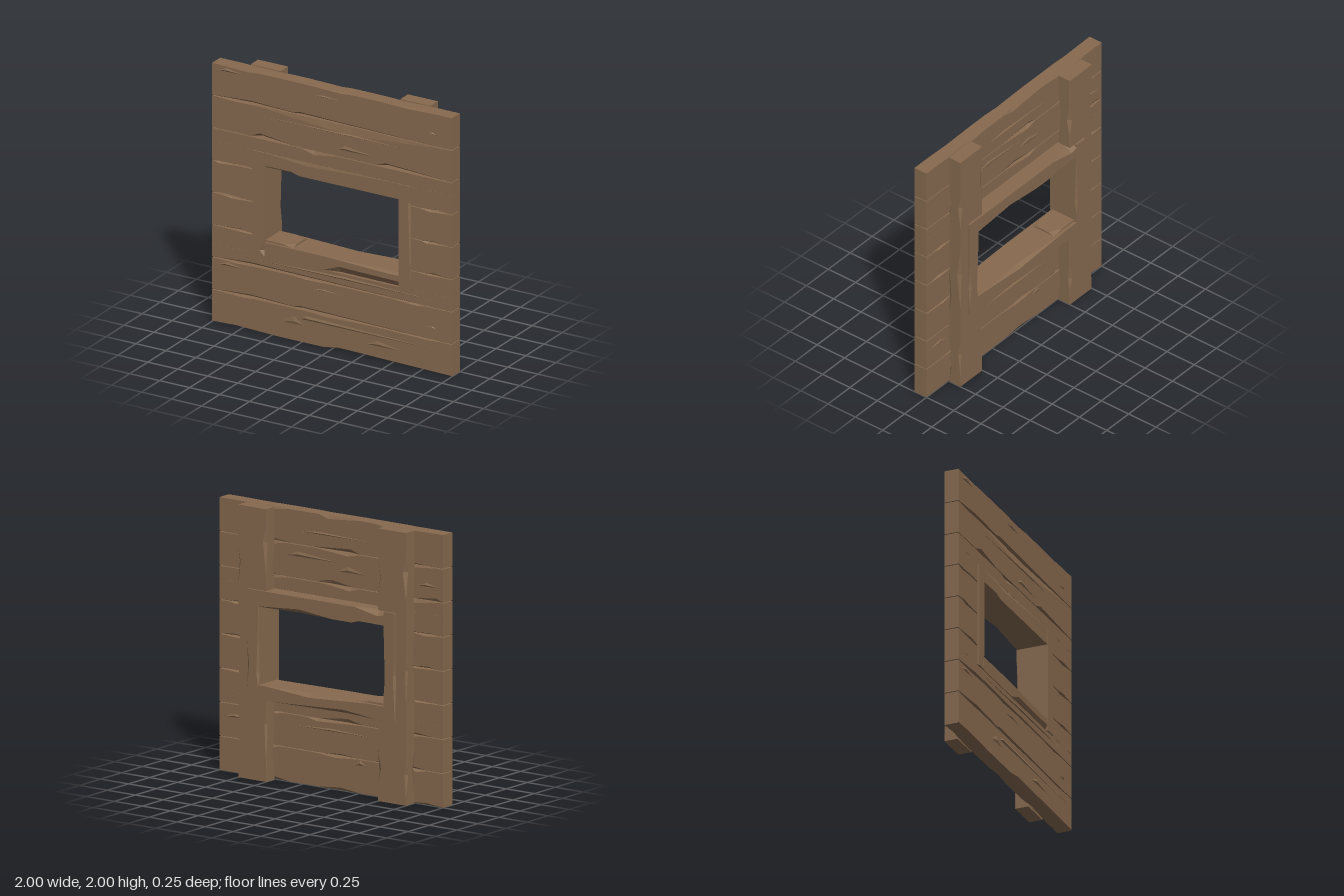
import * as THREE from 'three';

const wood = new THREE.MeshStandardMaterial({ color: 0x876a4f });
wood.name = 'brown wood';

// Small seeded generator for the chipped edges
let seed = 11;
const rnd = (a, b) => {
  seed = (seed * 16807) % 2147483647;
  return a + (b - a) * (seed / 2147483647);
};

function toMesh(tris, name) {
  const geo = new THREE.BufferGeometry();
  geo.setAttribute('position', new THREE.Float32BufferAttribute(tris.flat(), 3));
  geo.computeVertexNormals();
  const mesh = new THREE.Mesh(geo, wood);
  mesh.name = name;
  return mesh;
}

// Hewn board along x. Corners: 0 bottom back, 1 top back, 2 top front, 3 bottom front.
// Chip: [corner, start, peak, end, cut across, cut into depth]
function board(name, [x0, x1], [y0, y1], [z0, z1], chips = []) {
  const stations = [...new Set([x0, x1, ...chips.flatMap(c => [c[1], c[2], c[3]])])]
    .filter(x => x >= x0 && x <= x1).sort((a, b) => a - b);
  const cut = (corner, x) => {
    let u = 0.0006, v = 0.0006;
    for (const [k, a, p, b, du, dv] of chips) {
      if (k !== corner || x <= a || x >= b) continue;
      const f = x <= p ? (x - a) / (p - a) : (b - x) / (b - p);
      u = Math.max(u, du * f);
      v = Math.max(v, dv * f);
    }
    return [u, v];
  };
  const rings = stations.map(x => {
    const [a, b, c, d] = [0, 1, 2, 3].map(k => cut(k, x));
    return [
      [x, y0, z0 + a[1]], [x, y0 + a[0], z0], [x, y1 - b[0], z0], [x, y1, z0 + b[1]],
      [x, y1, z1 - c[1]], [x, y1 - c[0], z1], [x, y0 + d[0], z1], [x, y0, z1 - d[1]],
    ].reverse();
  });
  const tris = [];
  // The reversed ring runs clockwise in (y, z) or not depending on build order, so orient by area
  const area = r => r.reduce((s, p, i) => {
    const q = r[(i + 1) % 8];
    return s + p[1] * q[2] - q[1] * p[2];
  }, 0);
  rings.forEach(r => { if (area(r) < 0) r.reverse(); });
  for (let i = 0; i < rings.length - 1; i++) {
    for (let j = 0; j < 8; j++) {
      const k = (j + 1) % 8;
      const a = rings[i][j], b = rings[i][k], c = rings[i + 1][k], d = rings[i + 1][j];
      tris.push(...a, ...b, ...c, ...a, ...c, ...d);
    }
  }
  const s = rings[0], e = rings[rings.length - 1];
  for (let j = 1; j < 7; j++) {
    tris.push(...s[0], ...s[j + 1], ...s[j], ...e[0], ...e[j], ...e[j + 1]);
  }
  return toMesh(tris, name);
}

// A few random chips on the given corners
function wear(x0, x1, corners, count, du = 0.025, dv = 0.015) {
  const out = [];
  for (const k of corners) {
    for (let i = 0; i < count; i++) {
      const step = (x1 - x0) / count, a = x0 + step * i + rnd(0, 0.25) * step;
      const b = a + step * rnd(0.4, 0.75);
      out.push([k, a, a + (b - a) * rnd(0.2, 0.8), b, rnd(0.4, 1) * du, rnd(0.4, 1) * dv]);
    }
  }
  return out;
}

// Upright board: built along x, then turned so its length runs along y
function upright(name, [x0, x1], ys, zs, chips) {
  const mesh = board(name, ys, [-x1, -x0], zs, chips);
  mesh.rotation.z = Math.PI / 2;
  return mesh;
}

// Low raised splinter with a steep underside
function splinter(x0, xp, x1, y, h, z, d = 0.008) {
  const L = [x0, y, z], R = [x1, y + h * 0.1, z], T = [xp, y + h, z], P = [xp, y + h * 0.45, z + d];
  return toMesh([...L, ...P, ...T, ...P, ...R, ...T, ...L, ...R, ...P], 'splinter');
}

export function createModel() {
  const model = new THREE.Group();
  const Z = [0, 0.11], G = 0.003;

  // Full-width planks: [bottom, top, front chips]
  const longSeam = [[3, -1.01, -0.68, -0.1, 0.022, 0.03], [3, -0.34, -0.27, 0.95, 0.022, 0.03]];
  const rows = [
    [0, 0.25, [[3, -0.07, 0.05, 1.3, 0.022, 0.04], [3, -1.1, -0.8, -0.45, 0.012, 0.03]]],
    [0.25, 0.5, longSeam],
    [0.5, 0.6, [[3, -1.01, -0.68, 0.97, 0.022, 0.03]]],
    [1.4, 1.5, [[2, -0.25, -0.15, 0.04, 0.03, 0.016]]],
    [1.5, 1.75, [[3, -0.69, -0.6, -0.33, 0.036, 0.05], [3, 0.37, 0.45, 1, 0.03, 0.045],
      [2, -0.68, 0.15, 0.95, 0.065, 0.012]]],
    [1.75, 2, longSeam],
  ];
  rows.forEach(([a, b, chips]) => {
    const inner = b - a < 0.2;
    const lo = a === 0 || a === 1.4 ? a : a + G, hi = b === 2 || b === 0.6 ? b : b - G;
    const back = a === 1.4 ? [1] : inner ? [0] : [0, 1];
    model.add(board('plank', [-1, 1], [lo, hi], Z,
      [...chips, ...wear(-1, 1, back, 3, 0.03, 0.02), ...(inner ? [] : wear(-1, 1, [2], 3, 0.012, 0.012))]));
  });

  // Short planks either side of the window
  for (const [a, b] of [[0.6, 0.75], [0.75, 1], [1, 1.25], [1.25, 1.4]]) {
    for (const xs of [[-1, -0.66], [0.66, 1]]) {
      const lo = a === 0.6 ? a : a + G, hi = b === 1.4 ? b : b - G;
      const worn = a === 0.6 ? [1, 2] : b === 1.4 ? [0, 3] : [0, 1, 2, 3];
      model.add(board('sidePlank', xs, [lo, hi], Z, wear(xs[0], xs[1] + 0.1, worn, 1, 0.014, 0.025)));
    }
  }

  // Back posts, notched around the window frame
  for (const s of [-1, 1]) {
    const span = (a, b) => (s > 0 ? [a, b] : [-b, -a]);
    const zs = [-0.11, -0.008];
    model.add(upright('postLower', span(0.5, 0.75), [0, 0.6], zs, wear(0, 0.6, [0, 1, 2, 3], 1, 0.03, 0.03)));
    model.add(upright('postUpper', span(0.5, 0.75), [1.4, 2], zs, wear(1.4, 2, [0, 1, 2, 3], 1, 0.03, 0.03)));
    model.add(upright('postMiddle', span(0.66, 0.75), [0.6, 1.4], zs, wear(0.6, 1.4, s > 0 ? [0, 3] : [1, 2], 1, 0.02, 0.03)));
    // Window jamb
    model.add(upright('windowJamb', span(0.56, 0.66), [0.6, 1.4], [-0.125, 0.12],
      s > 0 ? [[3, 0.64, 1.27, 1.36, 0.022, 0.02], ...wear(0.6, 1.4, [0, 1], 1, 0.02, 0.02)]
        : [[3, 0.6, 0.64, 0.72, 0.04, 0.02], ...wear(0.6, 1.4, [0, 1], 1, 0.02, 0.02)]));
  }

  // Window lintel and sill
  model.add(board('windowLintel', [-0.56, 0.56], [1.28, 1.4], [-0.125, 0.115], [
    [3, -2.2, -0.34, -0.27, 0.02, 0.03], [0, -2.2, -0.34, -0.27, 0.02, 0.2],
    [2, -0.6, -0.2, 0.5, 0.03, 0.008], [1, -0.7, -0.5, -0.3, 0.04, 0.06], [0, -0.1, 0.2, 0.6, 0.03, 0.03],
  ]));
  model.add(board('windowSill', [-0.56, 0.56], [0.6, 0.705], [-0.125, 0.115], [
    [3, -0.07, 0.06, 3, 0.05, 0.03], [2, -0.07, 0.5, 1.2, 0.02, 0.02],
    [1, -0.4, 0.1, 0.5, 0.03, 0.03], [0, -0.5, -0.2, 0.4, 0.03, 0.04],
  ]));
  model.add(board('sillRise', [-0.56, -0.33], [0.7, 0.72], [-0.1, 0.1],
    [[1, -0.42, -0.33, -0.2, 0.016, 0.05], [2, -0.42, -0.33, -0.2, 0.016, 0.05]]));

  // Splinters in the grain of the front: [start, peak, end, y, height]
  for (const [a, p, b, y, h] of [
    [-0.27, -0.22, 1, 0.175, 0.035], [0.28, 0.38, 0.6, 0.1, 0.045], [-0.43, -0.32, -0.22, 0.12, 0.07],
    [-0.67, 0.1, 0.9, 0.555, 0.025], [0.05, 0.1, 0.4, 1.555, 0.04], [-0.67, 0.2, 0.6, 1.675, 0.015],
    // The top plank and the second plank share one grain pattern
    ...[0, -1.5].flatMap(o => [
      [-0.16, -0.08, 0.09, 1.93 + o, 0.015], [0.78, 0.84, 0.87, 1.84 + o, 0.015],
      [-0.95, -0.88, -0.73, 1.955 + o, 0.03],
    ]),
  ]) model.add(splinter(a, p, b, y, h, 0.1095));

  // Splinters on the back of the planks
  const backGrain = new THREE.Group();
  backGrain.name = 'backGrain';
  backGrain.rotation.y = Math.PI;
  for (const [a, p, b, y, h] of [
    [-0.4, -0.3, 0.1, 1.66, 0.04], [0.05, 0.15, 0.32, 1.6, 0.05], [-0.3, -0.1, 0.4, 1.85, 0.02],
    [0.2, 0.26, 0.31, 0.2, 0.05], [-0.35, 0, 0.4, 0.42, 0.02], [0.77, 0.85, 0.98, 1.6, 0.03],
    [-0.98, -0.85, -0.77, 0.4, 0.03],
  ]) backGrain.add(splinter(a, p, b, y, h, -0.0005));
  model.add(backGrain);

  return model;
}
